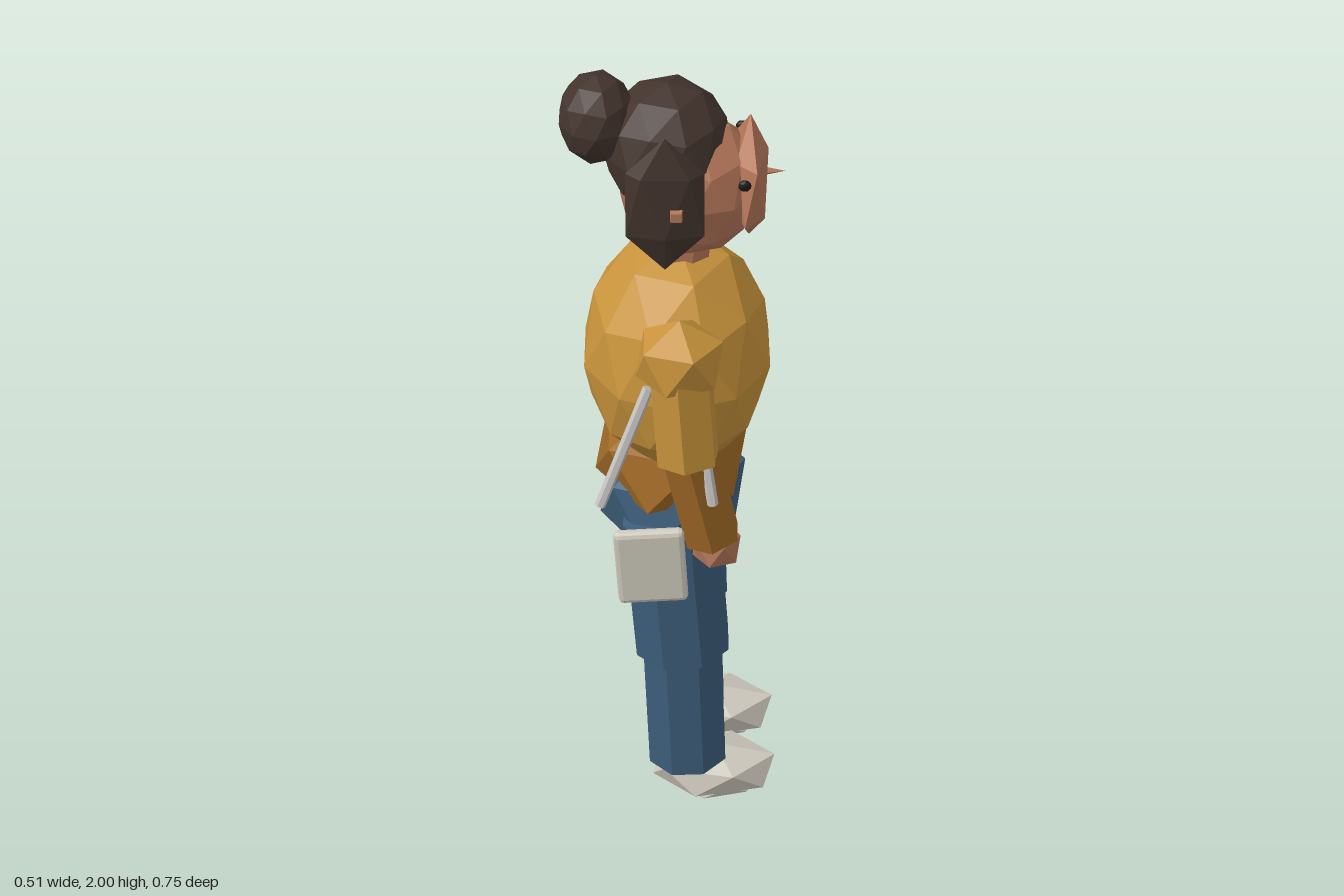
import * as THREE from 'three';
import { RoundedBoxGeometry } from 'three/addons/geometries/RoundedBoxGeometry.js';

export function createModel() {
  const root = new THREE.Group();
  root.name = 'person';
  const mat = (name, color) => {
    const m = new THREE.MeshStandardMaterial({ color, flatShading: true });
    m.name = name;
    return m;
  };
  const skin = mat('skin', 0xb5775a), hairMat = mat('dark brown hair', 0x43342d);
  const mustard = mat('mustard cloth', 0xc8933b), ochre = mat('ochre knit', 0xa06926);
  const denim = mat('denim', 0x3d5e7b), cream = mat('cream', 0xd0cbbe);
  const strapMat = mat('pale grey strap', 0xc4c3c0), black = mat('black', 0x1c1a1a);

  const add = (name, geometry, material) => {
    const m = new THREE.Mesh(geometry, material);
    m.name = name;
    root.add(m);
    return m;
  };
  // Faceted ellipsoid with a vertex at the pole, turned about y before scaling
  const blob = (name, material, pos, radii, detail = 0, turn = 0) => {
    const g = new THREE.IcosahedronGeometry(1, detail);
    g.rotateZ(-Math.atan(2 / (1 + Math.sqrt(5))));
    g.rotateY(turn);
    g.scale(...radii);
    g.translate(...pos);
    return add(name, g, material);
  };
  // Straight prism between two points
  const limb = (name, material, a, b, r, sides) => {
    const from = new THREE.Vector3(...a), to = new THREE.Vector3(...b);
    const dir = to.clone().sub(from);
    const g = new THREE.CylinderGeometry(r, r, dir.length(), sides);
    g.rotateY(Math.PI / sides);
    const m = add(name, g, material);
    m.quaternion.setFromUnitVectors(new THREE.Vector3(0, 1, 0), dir.normalize());
    m.position.copy(from).add(to).multiplyScalar(0.5);
    return m;
  };

  // Torso
  blob('torso', mustard, [0.006, 1.29, 0], [0.228, 0.297, 0.272], 1);
  blob('sweaterHem', ochre, [-0.008, 1.005, 0], [0.205, 0.15, 0.222]);
  blob('hips', denim, [-0.005, 0.885, 0], [0.197, 0.175, 0.225]);
  limb('neck', skin, [0.01, 1.5, 0], [0.02, 1.64, 0], 0.07, 8);

  // Head
  blob('head', skin, [0.035, 1.738, 0], [0.166, 0.172, 0.157], 1);
  blob('face', skin, [0.17, 1.755, 0], [0.046, 0.156, 0.142]);
  const nose = new THREE.ConeGeometry(0.014, 0.06, 4);
  nose.rotateZ(-Math.PI / 2);
  nose.translate(0.22, 1.765, 0);
  add('nose', nose, skin);

  // Hair
  blob('hair', hairMat, [-0.016, 1.828, -0.012], [0.148, 0.155, 0.165], 1);
  blob('hairBun', hairMat, [-0.174, 1.896, -0.015], [0.088, 0.105, 0.11], 1);
  blob('sideHair', hairMat, [-0.022, 1.768, 0.155], [0.103, 0.168, 0.032], 0, Math.PI / 2);

  for (const s of [1, -1]) {
    const label = (part) => (s < 0 ? 'left' : 'right') + part;

    // Eye and ear
    blob(label('Eye'), black, [0.155, 1.805, s * 0.135], [0.015, 0.014, 0.009], 1);
    const ear = new THREE.CylinderGeometry(0.016, 0.032, 0.06, 4);
    ear.rotateY(Math.PI / 4);
    ear.rotateX(s * Math.PI / 2);
    ear.translate(0.003, 1.756, s * 0.163);
    add(label('Ear'), ear, skin);

    // Arm
    blob(label('Shoulder'), mustard, [0.01, 1.438, s * 0.273], [0.11, 0.102, 0.105]);
    limb(label('UpperArm'), mustard, [0.012, 1.43, s * 0.282], [0.03, 1.183, s * 0.302], 0.076, 6);
    limb(label('Forearm'), ochre, [0.03, 1.21, s * 0.295], [0.088, 0.945, s * 0.28], 0.069, 6);
    blob(label('Hand'), skin, [0.098, 0.912, s * 0.275], [0.063, 0.064, 0.06]);

    // Leg
    limb(label('Thigh'), denim, [-0.01, 0.89, s * 0.115], [0.02, 0.49, s * 0.115], 0.123, 8);
    limb(label('Shin'), denim, [0.018, 0.52, s * 0.117], [0.033, 0.13, s * 0.117], 0.104, 8);

    // Shoe
    blob(label('Shoe'), cream, [0.1, 0.08, s * 0.115], [0.174, 0.072, 0.106]);
    blob(label('ShoeSole'), cream, [0.105, 0.037, s * 0.115], [0.112, 0.037, 0.08]);
  }

  // Flat bag beside one hip, with two straps
  const bag = add('bag', new RoundedBoxGeometry(0.164, 0.204, 0.031, 1, 0.012), cream);
  bag.position.set(-0.056, 0.91, 0.35);
  bag.rotation.z = 0.06;
  limb('backStrap', strapMat, [-0.172, 1.09, 0.358], [-0.06, 1.37, 0.29], 0.013, 6);
  limb('frontStrap', strapMat, [0.087, 1.09, 0.355], [0.045, 1.36, 0.3], 0.013, 6);

  return root;
}
